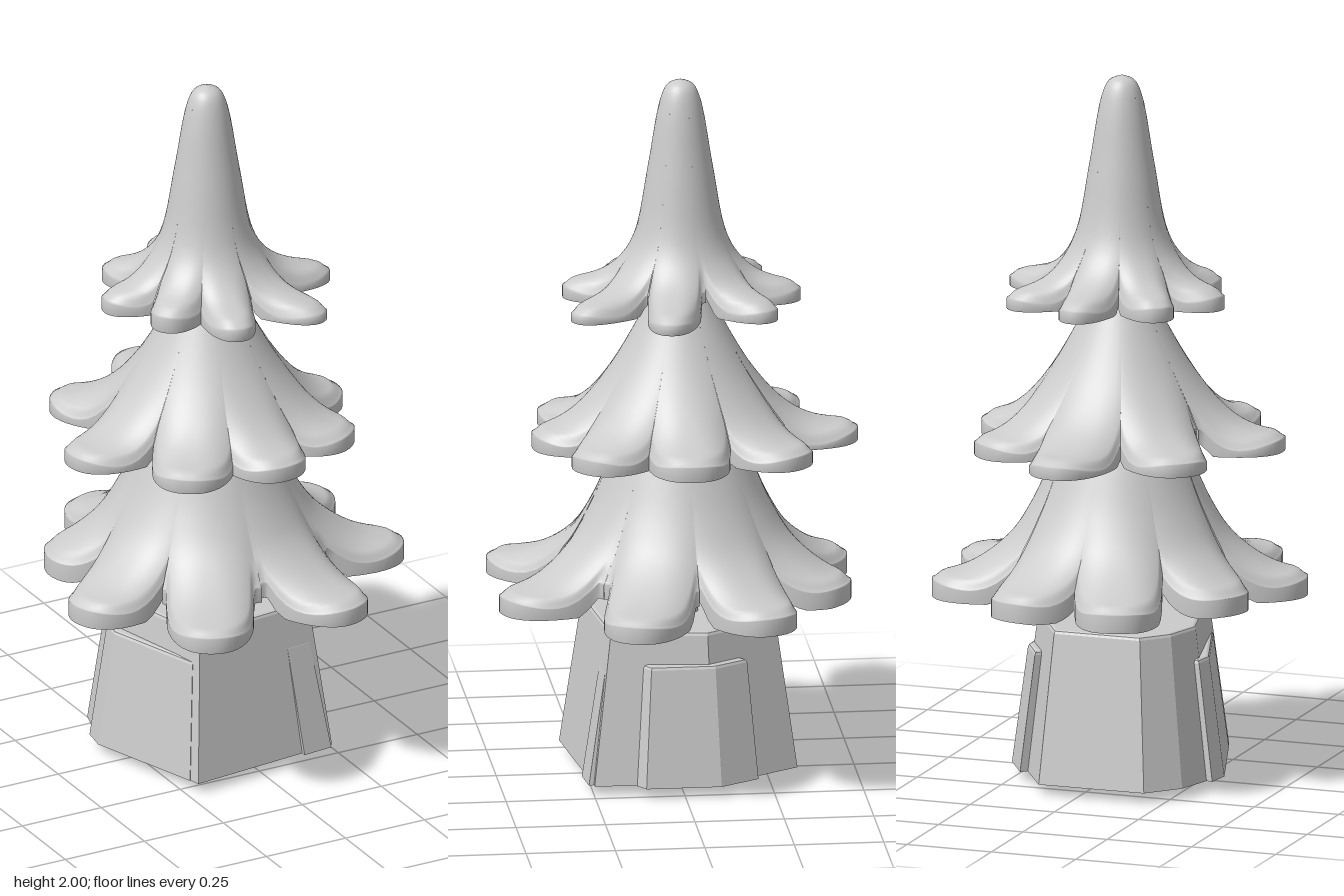
import * as THREE from 'three';

const CX = -0.02, CZ = -0.017; // tree axis
const material = new THREE.MeshStandardMaterial({ color: 0xcccccc, side: THREE.DoubleSide });
const rockMaterial = new THREE.MeshStandardMaterial({ color: 0xcccccc, flatShading: true });

function addMesh(parent, name, geometry, mat = material) {
  const mesh = new THREE.Mesh(geometry, mat);
  mesh.name = name;
  parent.add(mesh);
  return mesh;
}

// Each tier: slope profile [radius, y], lobe shape, and lobe tips [x, z]
const tiers = [
  {
    name: 'lowerBranches', width: 0.122, neck: 0.62, bottom: 0.52,
    profile: [[0.01, 1.08], [0.1, 1.06], [0.165, 0.97], [0.245, 0.79], [0.31, 0.69], [0.41, 0.615], [0.5, 0.587], [0.62, 0.575]],
    tips: [[0.46, -0.24], [0.5, 0.17], [0.18, 0.5], [-0.28, 0.49], [-0.51, 0.15], [-0.43, -0.21], [-0.18, -0.49], [0.16, -0.47]],
  },
  {
    name: 'middleBranches', width: 0.115, neck: 0.6, bottom: 0.95,
    profile: [[0.01, 1.47], [0.05, 1.45], [0.08, 1.38], [0.195, 1.17], [0.29, 1.06], [0.37, 1.015], [0.52, 0.995]],
    tips: [[0.01, -0.51], [0.29, -0.33], [0.39, -0.01], [0.28, 0.28], [0.01, 0.4], [-0.28, 0.34], [-0.48, 0.04], [-0.33, -0.35]],
  },
  {
    name: 'topBranches', width: 0.074, neck: 0.52, bottom: 1.36,
    profile: [[0.001, 2], [0.035, 1.985], [0.055, 1.945], [0.09, 1.75], [0.126, 1.56], [0.162, 1.49], [0.22, 1.44], [0.38, 1.395]],
    tips: [[0.01, -0.35], [0.23, -0.25], [0.33, 0.05], [0.18, 0.3], [-0.09, 0.305], [-0.25, 0.15], [-0.33, -0.05], [-0.22, -0.25]],
  },
];

// Outer radius of a lobe of length R, at an angle away from the lobe's axis
function lobeReach(tier, R, angle) {
  const neck = tier.neck * R;
  let lo = neck, hi = R;
  for (let i = 0; i < 24; i++) {
    const r = (lo + hi) / 2;
    const x = r * Math.abs(Math.sin(angle)) / tier.width;
    const z = Math.max(0, (r * Math.cos(angle) - neck) / (R - neck));
    if (x ** 2.3 + z ** 2.3 < 1) lo = r; else hi = r;
  }
  return lo;
}

// A thin, hollow skirt split into rounded lobes, one wedge per lobe
function skirtGeometry(tier) {
  const COLS = 28, ROWS = 34, ring = 2 * (ROWS + 1);
  const curve = new THREE.CatmullRomCurve3(tier.profile.map(([r, y]) => new THREE.Vector3(r, y, 0)));
  const samples = curve.getPoints(800);
  const lobes = tier.tips.map(([x, z]) => ({ angle: Math.atan2(x - CX, z - CZ), R: Math.hypot(x - CX, z - CZ) }))
    .sort((a, b) => a.angle - b.angle);
  const pos = [], index = [];
  lobes.forEach(({ angle, R }, n) => {
    const turn = 2 * Math.PI, count = lobes.length;
    const before = (angle - lobes[(n + count - 1) % count].angle + turn) % turn / 2;
    const after = (lobes[(n + 1) % count].angle - angle + turn) % turn / 2;
    for (let c = 0; c <= COLS; c++) {
      const d = THREE.MathUtils.lerp(-before, after, c / COLS);
      const reach = lobeReach(tier, R, d);
      const end = samples.findIndex((p) => p.x >= reach) / 800;
      const start = pos.length / 3;
      for (let j = 0; j < ring; j++) {
        const under = j > ROWS;
        const k = (under ? ring - 1 - j : j) / ROWS;
        const p = curve.getPoint(end * (1 - (1 - k) ** 1.4));
        const r = Math.min(p.x, reach);
        // The lobe sags toward its sides and rounds off at its rim
        const out = THREE.MathUtils.smoothstep(r / R, 0.3, 0.75);
        const side = Math.min(1, Math.abs(r * Math.sin(d)) / tier.width);
        const rim = 0.014 * THREE.MathUtils.smoothstep(r, reach - 0.03, reach);
        const sag = 0.04 * out * side ** 3;
        const y = p.y - sag - (under ? 0.025 + 0.04 * out : rim);
        pos.push(r * Math.sin(angle + d), Math.max(y, tier.bottom), r * Math.cos(angle + d));
        if (c < COLS && j < ring - 1) {
          const q = start + j;
          index.push(q, q + 1, q + ring, q + ring, q + 1, q + ring + 1);
        }
      }
    }
  });
  const g = new THREE.BufferGeometry();
  g.setAttribute('position', new THREE.Float32BufferAttribute(pos, 3));
  g.setIndex(index);
  g.computeVertexNormals();
  return g;
}

// Tapered faceted block standing on a plan outline of [x, z] corners
function taperedBlock(points, y0, y1, topScale, bevel) {
  const shape = new THREE.Shape(points.map(([x, z]) => new THREE.Vector2(x, -z)));
  const g = new THREE.ExtrudeGeometry(shape, {
    depth: y1 - y0 - bevel, bevelEnabled: true, bevelThickness: bevel, bevelSize: bevel, bevelOffset: -bevel, bevelSegments: 2,
  });
  g.rotateX(-Math.PI / 2);
  const p = g.attributes.position;
  for (let i = 0; i < p.count; i++) {
    const y = Math.max(0, p.getY(i));
    const k = 1 + (topScale - 1) * y / (y1 - y0);
    p.setXYZ(i, CX + (p.getX(i) - CX) * k, y + y0, CZ + (p.getZ(i) - CZ) * k);
  }
  g.computeVertexNormals();
  return g;
}

export function createModel() {
  const model = new THREE.Group();
  model.name = 'treeOnRockBase';

  // Branch tiers
  for (const tier of tiers) {
    addMesh(model, tier.name, skirtGeometry(tier)).position.set(CX, 0, CZ);
  }

  // Trunk
  const trunk = addMesh(model, 'trunk', new THREE.CylinderGeometry(0.05, 0.05, 0.2, 24));
  trunk.position.set(CX, 0.52, CZ);

  // Rock base: faceted core with lower slabs on its sides
  const base = new THREE.Group();
  base.name = 'rockBase';
  model.add(base);
  const block = (name, points, top, scale) =>
    addMesh(base, name, taperedBlock(points, 0.03, top, scale, 0.01), rockMaterial);
  block('core', [[-0.22, 0.3], [0.23, 0.25], [0.262, -0.08], [0.11, -0.33], [-0.2, -0.325], [-0.28, -0.235], [-0.32, -0.1]], 0.46, 0.81);
  block('leftSideSlab', [[0.23, 0.14], [0.275, 0.11], [0.275, -0.1], [0.21, -0.21], [0.1, -0.1], [0.1, 0.14]], 0.37, 0.85);
  block('rightSideSlab', [[-0.23, 0.27], [-0.34, -0.06], [-0.33, -0.13], [-0.15, -0.1], [-0.13, 0.2]], 0.37, 0.85);
  block('frontSlab', [[0.13, 0.275], [0.22, 0.265], [0.21, 0.12], [0.13, 0.12]], 0.35, 0.82);

  // Small peg cluster underneath
  const pegs = new THREE.Group();
  pegs.name = 'bottomPegs';
  pegs.position.set(CX, 0, CZ);
  model.add(pegs);
  for (let i = 0; i < 6; i++) {
    const a = i * Math.PI / 3;
    const peg = addMesh(pegs, 'peg', new THREE.BoxGeometry(0.022, 0.04, 0.03), rockMaterial);
    peg.position.set(0.042 * Math.sin(a), 0.02, 0.042 * Math.cos(a));
    peg.rotation.y = a;
  }
  return model;
}
